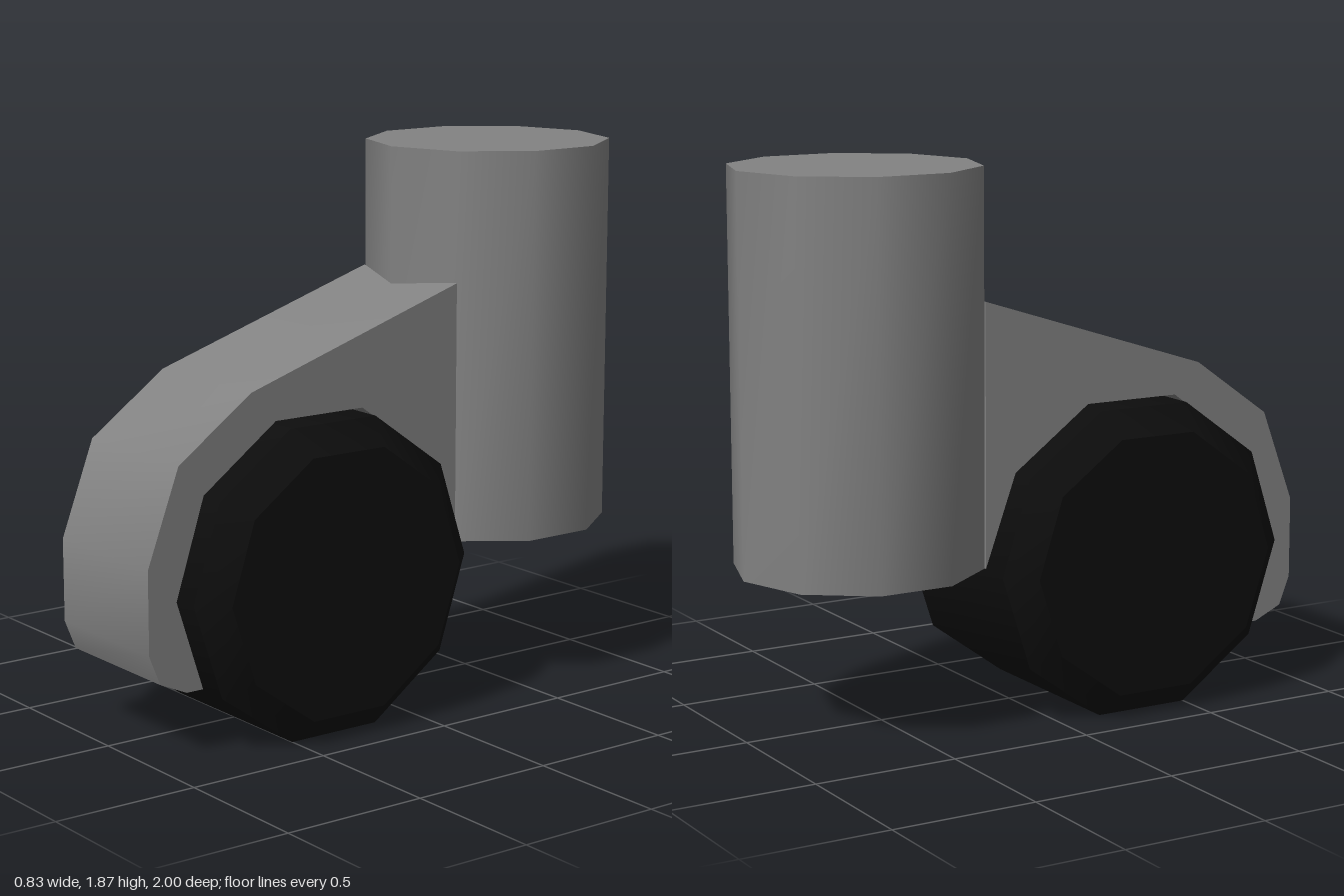
import * as THREE from 'three';
import { toCreasedNormals } from 'three/addons/utils/BufferGeometryUtils.js';

const CREASE = 0.65; // smooths the 36 degree facets, keeps sharper edges
const WHEEL = { y: 0.53, z: 0.33, radius: 0.55 };

function addPart(group, name, geometry, material) {
  const mesh = new THREE.Mesh(toCreasedNormals(geometry, CREASE), material);
  mesh.name = name;
  group.add(mesh);
  return mesh;
}

export function createModel() {
  const group = new THREE.Group();
  group.name = 'casterWheel';

  const greyMetal = new THREE.MeshStandardMaterial({ color: 0x828282 });
  greyMetal.name = 'greyMetal';
  const blackRubber = new THREE.MeshStandardMaterial({ color: 0x0d0d0d });
  blackRubber.name = 'blackRubber';

  // Ten-sided upright post behind the wheel
  const post = addPart(group, 'post', new THREE.CylinderGeometry(0.42, 0.42, 1.33, 10), greyMetal);
  post.position.set(0, 1.215, -0.58);

  // Ten-sided wheel with chamfered rims, axle along x
  const profile = [[0, -0.415], [0.46, -0.415], [0.55, -0.33], [0.55, 0.33], [0.46, 0.415], [0, 0.415]]
    .map(([r, h]) => new THREE.Vector2(r, h));
  const wheelGeometry = new THREE.LatheGeometry(profile, 10).rotateZ(Math.PI / 2);
  const wheel = addPart(group, 'wheel', wheelGeometry, blackRubber);
  wheel.position.set(0, WHEEL.y, WHEEL.z);

  // Guard: side outline in (z, y), hollowed to clear the wheel
  const outline = [
    [0.797, 0.225], [0.86, 0.225], [0.96, 0.27], [1, 0.37], [1, 0.65],
    [0.88, 0.97], [0.6, 1.17], [-0.24, 1.44], [-0.24, 0.55],
  ];
  const clearance = WHEEL.radius + 0.014;
  for (let i = 4; i >= 0; i--) {
    const a = (i * Math.PI) / 5;
    outline.push([WHEEL.z + clearance * Math.cos(a), WHEEL.y + clearance * Math.sin(a)]);
  }
  const shape = new THREE.Shape(outline.map(([z, y]) => new THREE.Vector2(z, y)));
  const guardGeometry = new THREE.ExtrudeGeometry(shape, { depth: 0.51, bevelEnabled: false })
    .translate(0, 0, -0.255)
    .rotateY(-Math.PI / 2);
  addPart(group, 'wheelGuard', guardGeometry, greyMetal);

  return group;
}
